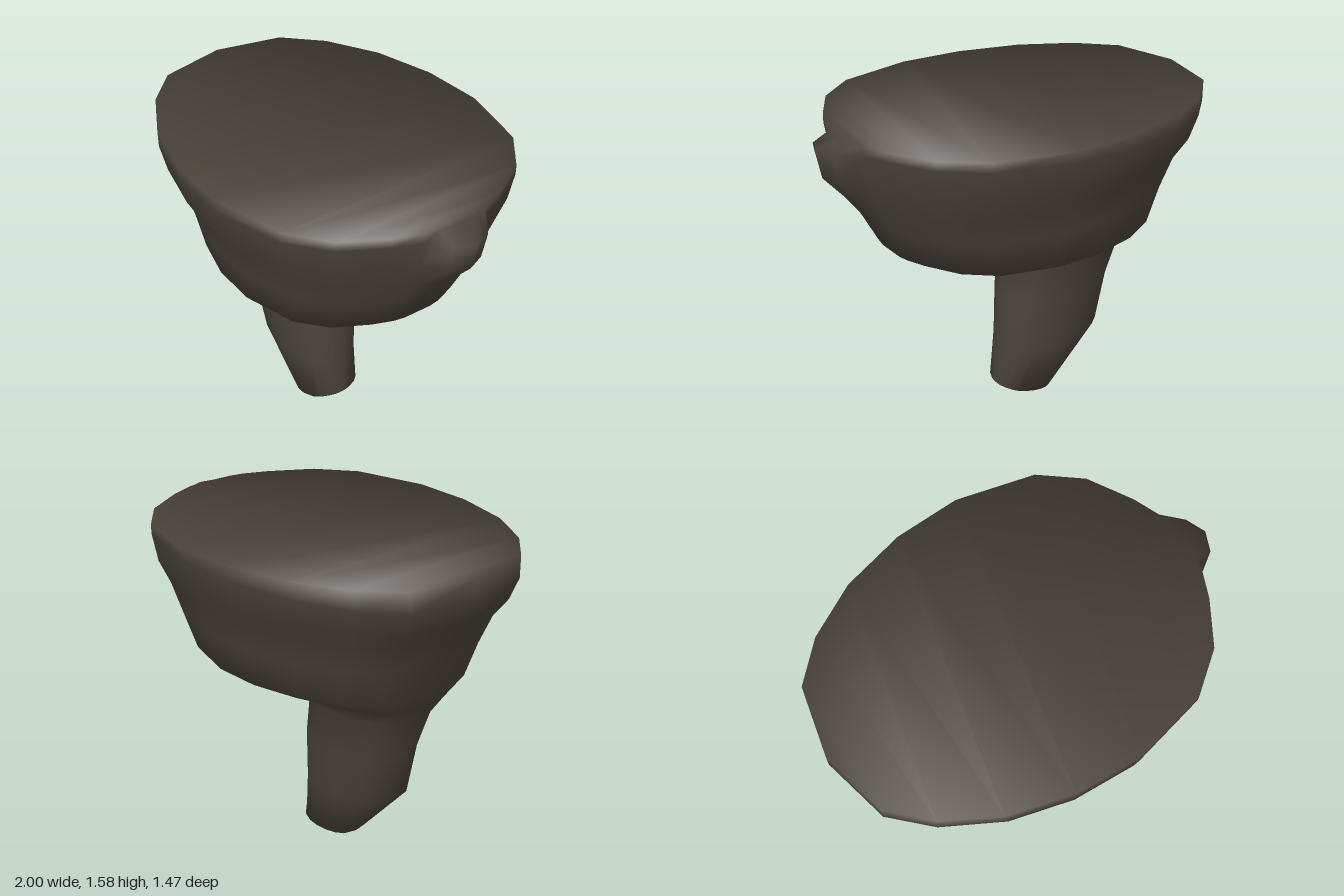
import * as THREE from 'three';

// Half outline of every cross-section, back to front: [along x, width, share of nose]
const HALF = [
  [-1, 0, 0], [-0.92, 0.45, 0], [-0.74, 0.68, 0], [-0.47, 0.87, 0], [-0.14, 0.98, 0], [0.2, 1, 0],
  [0.6, 0.88, 0], [0.8, 0.68, 0], [0.93, 0.4, 0], [0.985, 0.23, 0], [1, 0.13, 0.7], [1, 0, 1],
];

// Cross-sections from rim to foot: back x, front x, half width, back y, front y, nose length
const RINGS = [
  [-1, 0.87, 0.737, 1.58, 1.57, 0],
  [-1, 0.87, 0.735, 1.47, 1.525, 0.13],
  [-0.95, 0.84, 0.71, 1.36, 1.39, 0.13],
  [-0.88, 0.8, 0.65, 1.27, 1.27, 0.06],
  [-0.81, 0.74, 0.61, 1.12, 1.13, 0],
  [-0.74, 0.64, 0.57, 0.94, 0.95, 0],
  [-0.7, 0.08, 0.32, 0.86, 0.86, 0],
  [-0.64, -0.02, 0.25, 0.77, 0.78, 0],
  [-0.57, 0.025, 0.225, 0.58, 0.54, 0],
  [-0.52, 0.045, 0.19, 0.31, 0.28, 0],
  [-0.23, 0.055, 0.155, 0, 0.05, 0],
];

function bustGeometry() {
  const mirrored = HALF.slice(1, -1).reverse().map(([u, w, n]) => [u, -w, n]);
  const outline = [...HALF, ...mirrored];
  const n = outline.length;
  const pos = [];
  const idx = [];

  for (const [back, front, width, yBack, yFront, nose] of RINGS) {
    for (const [u, w, share] of outline) {
      const t = (1 - u) / 2;
      pos.push(front + (back - front) * t + nose * share, yFront + (yBack - yFront) * t * t, w * width);
    }
  }

  // Walls
  for (let r = 0; r < RINGS.length - 1; r++) {
    for (let i = 0; i < n; i++) {
      const a = r * n + i, b = r * n + (i + 1) % n;
      idx.push(a, a + n, b, a + n, b + n, b);
    }
  }

  // Flat top and foot, bridged from side to side
  const foot = (RINGS.length - 1) * n;
  for (let i = 0; i < HALF.length - 1; i++) {
    const a = i, b = i + 1, c = n - i - 1, d = (n - i) % n;
    if (b !== c) {
      idx.push(a, b, c);
      idx.push(foot + a, foot + c, foot + b);
    }
    if (a !== d) {
      idx.push(a, c, d);
      idx.push(foot + a, foot + d, foot + c);
    }
  }

  const geo = new THREE.BufferGeometry();
  geo.setAttribute('position', new THREE.Float32BufferAttribute(pos, 3));
  geo.setIndex(idx);
  geo.computeVertexNormals();

  // Soften the rim so that the top blends into the walls
  const v = new THREE.Vector3();
  for (let i = 0; i < n; i++) {
    v.set(pos[i * 3], 0, pos[i * 3 + 2] * 1.8).normalize();
    v.y = 1;
    v.normalize();
    geo.attributes.normal.setXYZ(i, v.x, v.y, v.z);
  }
  return geo;
}

export function createModel() {
  const model = new THREE.Group();
  model.name = 'lowerHead';
  const darkBrown = new THREE.MeshStandardMaterial({ color: 0x4a423b });
  darkBrown.name = 'darkBrown';
  const bust = new THREE.Mesh(bustGeometry(), darkBrown);
  bust.name = 'jawAndNeck';
  model.add(bust);
  return model;
}
